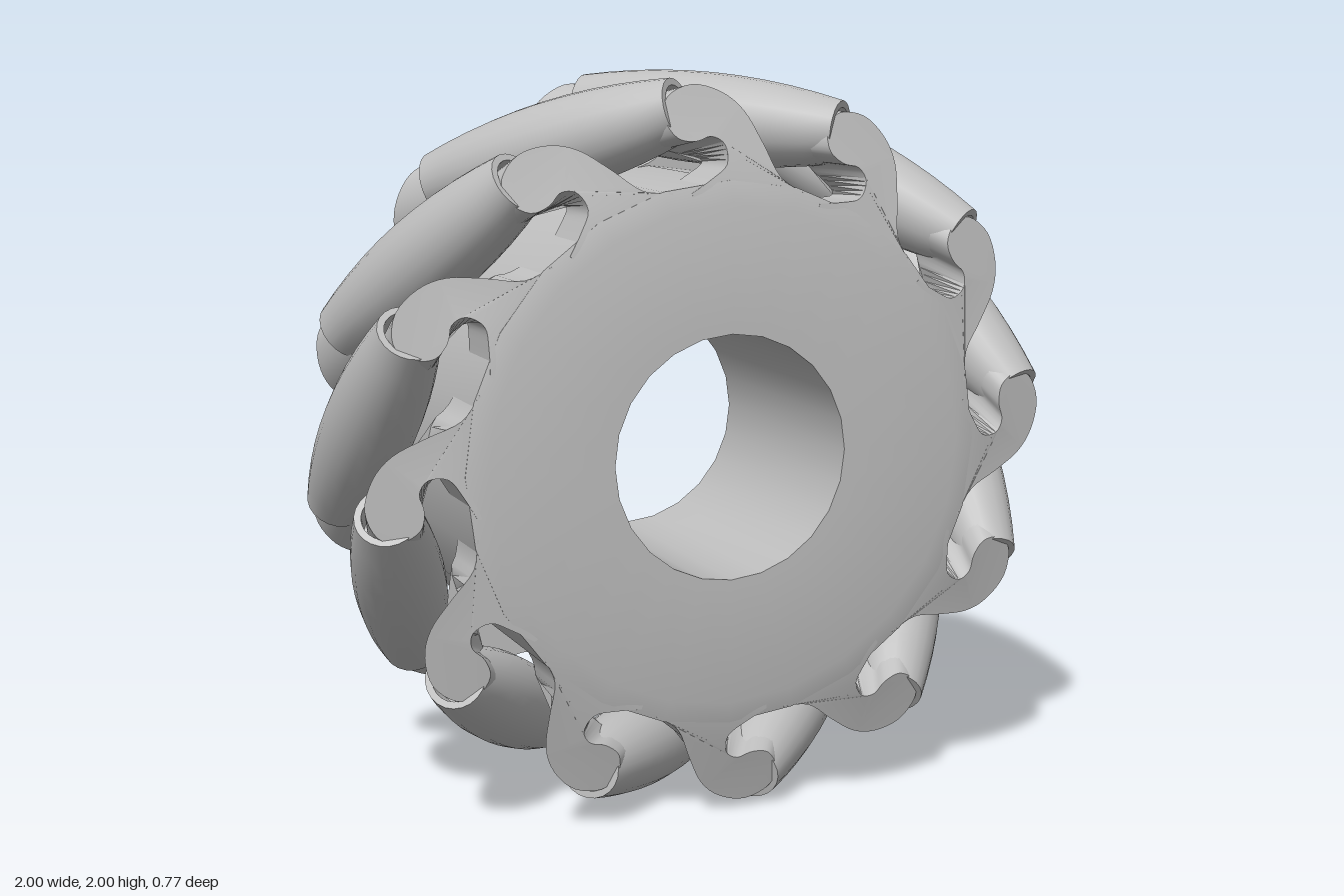
import * as THREE from 'three';
import { toCreasedNormals } from 'three/addons/utils/BufferGeometryUtils.js';

const COUNT = 12;          // rollers around the wheel
const AXIS_R = 0.875;      // distance of roller axes from the wheel centre
const HALF = 0.38;         // half length of a roller
const rad = THREE.MathUtils.degToRad;
const v = (x, y) => new THREE.Vector2(x, y);

// Front surface of the wheel: flat in the middle, conical towards the rim
const frontZ = r => 0.385 - Math.max(0, r - 0.67) * 0.28;

// Drum with a through bore and bevelled shoulders
function hubGeometry() {
  const z = frontZ(0.73);
  const profile = [v(0.33, -0.385), v(0.67, -0.385), v(0.73, -z),
    v(0.73, z), v(0.67, 0.385), v(0.33, 0.385), v(0.33, -0.385)];
  return toCreasedNormals(new THREE.LatheGeometry(profile, 24).rotateX(Math.PI / 2), 0.5);
}

// Barrel roller with recessed ends, its axis at 45 degrees across the rim
function rollerGeometry() {
  const pts = [v(0, -0.3), v(0.066, -0.3), v(0.066, -HALF)];
  for (let i = 0; i <= 10; i++) {
    const t = -HALF + (2 * HALF * i) / 10;
    pts.push(v(1 - Math.sqrt(AXIS_R ** 2 + t * t / 2), t));
  }
  pts.push(v(0.066, HALF), v(0.066, 0.3), v(0, 0.3));
  const g = new THREE.LatheGeometry(pts, 22);
  g.rotateX(Math.PI / 2).rotateY(Math.PI / 4).translate(0, AXIS_R, 0);
  return toCreasedNormals(g, 0.6);
}

// Hooked arm: curved outline, coned front, tip sheared along the roller axis
function armGeometry() {
  const outline = new THREE.SplineCurve([
    v(0.21, 0.69), v(0.145, 0.735), v(0.105, 0.82), v(0.06, 0.905), v(0, 0.955),
    v(-0.08, 0.975), v(-0.15, 0.945), v(-0.165, 0.89), v(-0.135, 0.84),
    v(-0.085, 0.83), v(-0.04, 0.842), v(-0.005, 0.82), v(-0.005, 0.77),
    v(-0.05, 0.735), v(-0.11, 0.7),
  ]).getPoints(56);
  const shape = new THREE.Shape([...outline, v(-0.1, 0.62), v(0.18, 0.6)]);
  const g = new THREE.ExtrudeGeometry(shape, { depth: 1, steps: 1, bevelEnabled: false });
  g.rotateZ(rad(-23.7));
  const p = g.attributes.position;
  for (let i = 0; i < p.count; i++) {
    const x = p.getX(i), y = p.getY(i), f = p.getZ(i);
    const r = Math.hypot(x, y), top = frontZ(r), back = 0.2;
    const lean = THREE.MathUtils.smoothstep(r, 0.76, 0.86) * 0.8;
    p.setXYZ(i, x - lean * (top - back) * (1 - f), y, back + (top - back) * f);
  }
  return toCreasedNormals(g, 0.6);
}

export function createModel() {
  const metal = new THREE.MeshStandardMaterial({ color: 0xbfbfbf });
  metal.name = 'light grey';
  const wheel = new THREE.Group();
  wheel.name = 'rollerWheel';

  const add = (parent, geometry, name) => {
    const mesh = new THREE.Mesh(geometry, metal);
    mesh.name = name;
    parent.add(mesh);
    return mesh;
  };

  add(wheel, hubGeometry(), 'hub');

  // Each station holds one roller between a front and a back arm
  const roller = rollerGeometry(), arm = armGeometry();
  for (let i = 0; i < COUNT; i++) {
    const station = new THREE.Group();
    station.name = 'rollerStation' + (i + 1);
    add(station, roller, 'roller');
    add(station, arm, 'frontArm');
    add(station, arm, 'backArm').rotation.y = Math.PI;
    station.rotation.z = rad(-6.3 + (360 / COUNT) * i);
    wheel.add(station);
  }

  wheel.position.y = 1;
  const model = new THREE.Group();
  model.name = 'model';
  model.add(wheel);
  return model;
}
